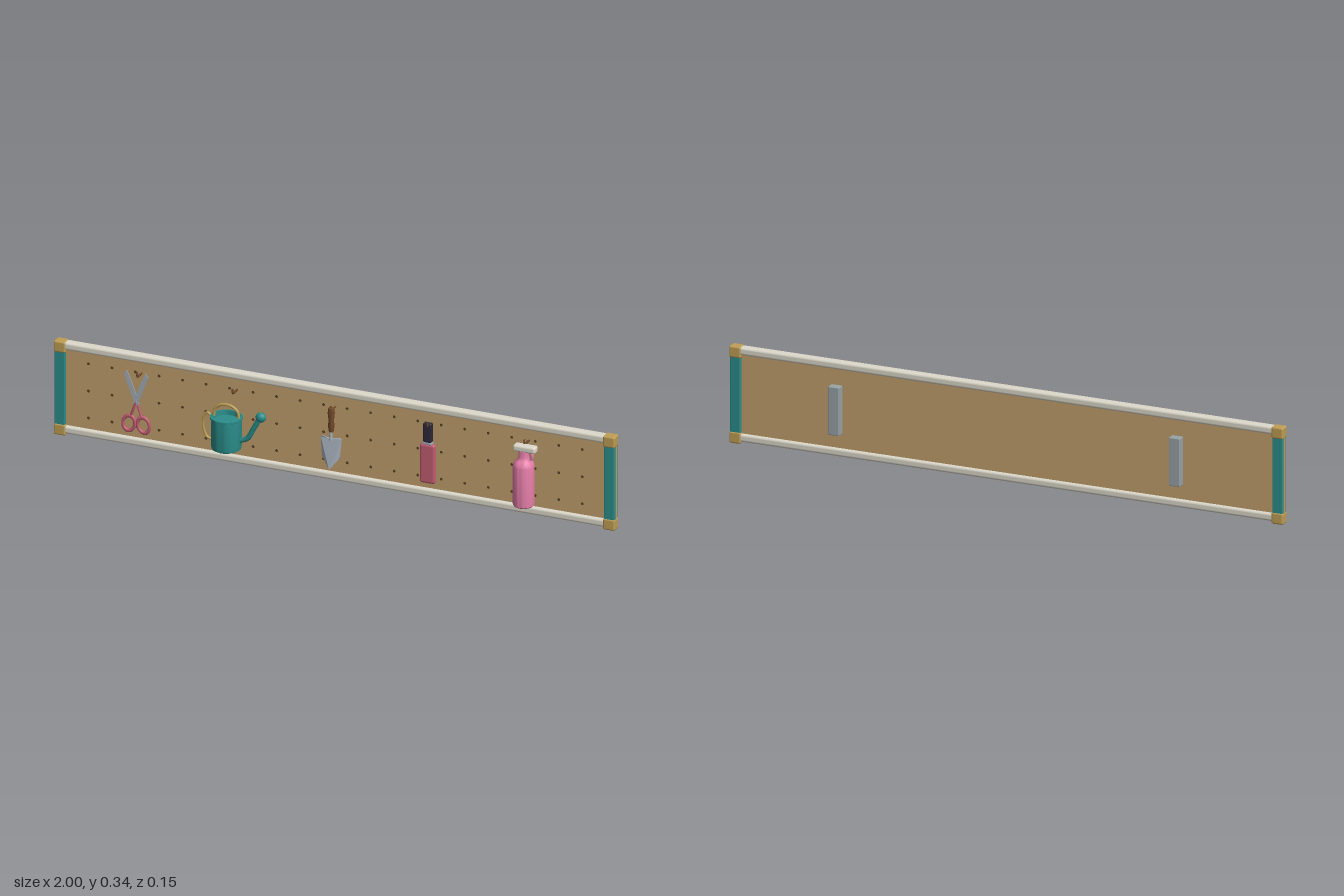
import * as THREE from 'three';
import { RoundedBoxGeometry } from 'three/addons/geometries/RoundedBoxGeometry.js';
import { toCreasedNormals } from 'three/addons/utils/BufferGeometryUtils.js';

const mat = (color) => new THREE.MeshStandardMaterial({ color, side: THREE.DoubleSide });
const M = {
  board: mat(0xc09f6c), brass: mat(0xbf9e55), teal: mat(0x2a8d8a), white: mat(0xdcd8ca),
  grey: mat(0x98a3a6), pink: mat(0xe27da6), rose: mat(0xc25d72), dark: mat(0x2c2938),
  wood: mat(0x70492b), steel: mat(0xa3adb9), hole: mat(0x5a4426),
};
const V = (x, y, z) => new THREE.Vector3(x, y, z);

export function createModel() {
  const model = new THREE.Group();
  const group = (name, x = 0, y = 0, z = 0) => {
    const g = new THREE.Group();
    g.name = name;
    g.position.set(x, y, z);
    model.add(g);
    return g;
  };
  const add = (parent, name, geo, m, x = 0, y = 0, z = 0) => {
    const mesh = new THREE.Mesh(geo, m);
    mesh.name = name;
    mesh.position.set(x, y, z);
    parent.add(mesh);
    return mesh;
  };
  const box = (w, h, d, r) => new RoundedBoxGeometry(w, h, d, 3, r);
  const lathe = (pts, n = 36) =>
    toCreasedNormals(new THREE.LatheGeometry(pts.map((p) => new THREE.Vector2(...p)), n), 0.6);
  const tube = (pts, r, n = 32) =>
    new THREE.TubeGeometry(new THREE.CatmullRomCurve3(pts), n, r, 8);
  const plate = (pts, d) => {
    const s = new THREE.Shape(pts.map((p) => new THREE.Vector2(...p)));
    return new THREE.ExtrudeGeometry(s, { depth: d, bevelEnabled: false }).translate(0, 0, -d / 2);
  };

  // Board, rails, posts and corner caps
  const ZB = -0.04;
  const frame = group('frame', 0, 0, ZB);
  add(frame, 'board', new THREE.BoxGeometry(1.998, 0.3, 0.011), M.board, 0, 0.17, -0.001);
  for (const y of [0.022, 0.323]) add(frame, 'rail', box(1.93, 0.028, 0.033, 0.009), M.white, 0, y, 0);
  for (const s of [-1, 1]) {
    add(frame, 'endPost', box(0.038, 0.27, 0.032, 0.004), M.teal, s * 0.979, 0.17, 0);
    for (const y of [0.021, 0.318])
      add(frame, 'cornerCap', box(0.042, 0.04, 0.037, 0.006), M.brass, s * 0.979, y, 0);
    add(frame, 'wallBracket', box(0.04, 0.168, 0.03, 0.003), M.grey, s * 0.615, 0.17, -0.019);
  }

  // Peg holes
  const holeGeo = new THREE.CylinderGeometry(0.005, 0.005, 0.002, 10).rotateX(Math.PI / 2);
  const holes = group('pegHoles');
  for (const y of [0.075, 0.172, 0.27])
    for (let i = 0; i < 22; i++) add(holes, 'pegHole', holeGeo, M.hole, -0.88 + i * 0.0838, y, ZB + 0.0045);

  // Wire hooks
  for (const x of [-0.69, -0.35, 0, 0.345, 0.69])
    add(model, 'hook', tube([V(x, 0.27, -0.036), V(x, 0.27, -0.012), V(x, 0.27, -0.001), V(x, 0.275, 0.004),
      V(x, 0.288, 0.004)], 0.003), M.wood);

  // Scissors: two crossing halves, each a blade, a shank and a finger ring
  const scissors = group('scissors', -0.695, 0.18, 0);
  for (const s of [-1, 1]) {
    const half = new THREE.Group();
    half.name = 'scissorHalf';
    scissors.add(half);
    const blade = add(half, 'blade', plate([[-0.008, -0.01], [0.007, -0.01], [0.009, 0.06], [0.006, 0.113],
      [-0.008, 0.104]].map(([x, y]) => [-s * x, y]), 0.003), M.steel, 0, 0, s * 0.002);
    blade.rotation.z = -s * 0.36;
    add(half, 'shank', tube([V(0, 0, s * 0.002), V(-s * 0.009, -0.025, s * 0.002), V(-s * 0.019, -0.053, 0)],
      0.0045), M.rose);
    const ring = add(half, 'fingerRing', new THREE.TorusGeometry(0.021, 0.0055, 10, 32), M.rose,
      -s * 0.026, -0.08, 0);
    ring.scale.y = 1.3;
    ring.rotation.z = -s * 0.2;
  }
  add(scissors, 'pivot', new THREE.CylinderGeometry(0.005, 0.005, 0.011, 16).rotateX(Math.PI / 2), M.steel);

  // Watering can
  const can = group('wateringCan', -0.364, 0, 0.023);
  add(can, 'canBody', lathe([[0, 0.079], [0.042, 0.079], [0.049, 0.083], [0.051, 0.095], [0.051, 0.188],
    [0.054, 0.19], [0.054, 0.196], [0.046, 0.197], [0.045, 0.18], [0, 0.18]]), M.teal);
  add(can, 'sideHandle', tube([V(-0.048, 0.183, 0), V(-0.068, 0.198, 0), V(-0.082, 0.17, 0),
    V(-0.08, 0.135, 0), V(-0.067, 0.11, 0), V(-0.048, 0.105, 0)], 0.0045), M.brass);
  add(can, 'topHandle', tube([V(-0.045, 0.19, 0), V(-0.04, 0.218, 0), V(-0.018, 0.235, 0), V(0.018, 0.235, 0),
    V(0.04, 0.218, 0), V(0.045, 0.19, 0)], 0.005), M.brass);
  add(can, 'spout', tube([V(0.042, 0.115, 0), V(0.075, 0.13, 0), V(0.097, 0.168, 0), V(0.118, 0.207, 0)],
    0.009), M.teal);
  const rose = add(can, 'spoutHead', new THREE.SphereGeometry(0.018, 24, 16), M.teal, 0.123, 0.213, 0);
  rose.scale.set(1, 0.95, 0.85);

  // Trowel: turned handle and a creased blade
  const trowel = group('trowel', 0, 0, 0);
  add(trowel, 'trowelHandle', lathe([[0, 0.195], [0.008, 0.195], [0.011, 0.215], [0.009, 0.235], [0.012, 0.262],
    [0.01, 0.279], [0, 0.284]], 24), M.wood);
  add(trowel, 'trowelNeck', new THREE.CylinderGeometry(0.005, 0.006, 0.035, 14), M.steel, 0, 0.183, 0.003);
  const scoop = plate([[0, 0.178], [-0.03, 0.178], [-0.037, 0.172], [-0.031, 0.105], [0, 0.065],
    [0.031, 0.105], [0.037, 0.172], [0.03, 0.178]], 0.004);
  const p = scoop.attributes.position;
  for (let i = 0; i < p.count; i++) p.setZ(i, p.getZ(i) + 0.018 - Math.abs(p.getX(i)) * 0.5);
  scoop.computeVertexNormals();
  add(trowel, 'trowelBlade', scoop, M.steel);

  // Pruning knife in a sheath
  const knife = group('knife', 0.343, 0, -0.004);
  add(knife, 'sheath', box(0.056, 0.142, 0.02, 0.009), M.rose, 0, 0.14, 0);
  add(knife, 'knifeCollar', box(0.034, 0.012, 0.017, 0.004), M.steel, 0, 0.213, 0);
  add(knife, 'knifeHandle', box(0.031, 0.071, 0.018, 0.006), M.dark, 0, 0.25, 0);

  // Spray bottle
  const bottle = group('sprayBottle', 0.69, 0, 0.01);
  add(bottle, 'bottleBody', lathe([[0, 0.056], [0.033, 0.056], [0.036, 0.06], [0.036, 0.198], [0.034, 0.206],
    [0.028, 0.215], [0.02, 0.222], [0.017, 0.23], [0.017, 0.253], [0, 0.253]]), M.pink);
  add(bottle, 'sprayHead', box(0.08, 0.024, 0.031, 0.008), M.white, 0.006, 0.261, 0);
  add(bottle, 'trigger', tube([V(0.024, 0.252, 0), V(0.03, 0.237, 0), V(0.027, 0.222, 0)], 0.006, 16), M.pink);
  return model;
}
